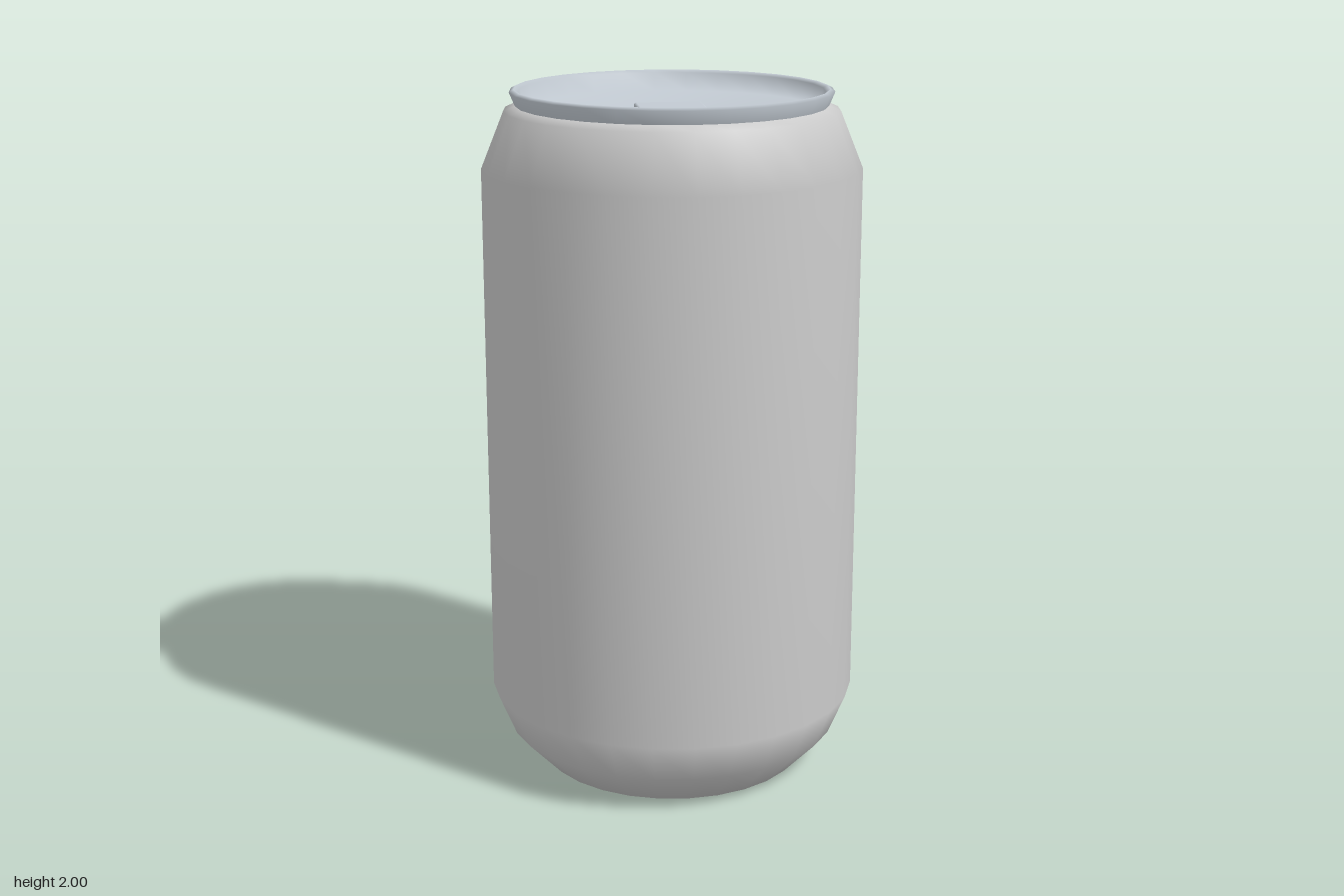
import * as THREE from 'three';
import { RoundedBoxGeometry } from 'three/addons/geometries/RoundedBoxGeometry.js';

const SIDES = 28;

// Smooth turned part from [radius, height] pairs
function turned(name, profile, material) {
  const points = profile.map(([r, y]) => new THREE.Vector2(r, y));
  const mesh = new THREE.Mesh(new THREE.LatheGeometry(points, SIDES), material);
  mesh.name = name;
  return mesh;
}

export function createModel() {
  const group = new THREE.Group();
  group.name = 'drinkCan';
  const grey = new THREE.MeshStandardMaterial({ color: 0xcccccc });
  const metal = new THREE.MeshStandardMaterial({ color: 0xc2cad2 });

  // Can wall with slightly hollow base, tapered foot and shoulder
  group.add(turned('body', [
    [0, 0.05], [0.39, 0], [0.49, 0.105], [0.54, 0.225],
    [0.54, 1.78], [0.475, 1.94], [0.44, 1.955],
  ], grey));

  // Flared rim and recessed lid
  group.add(turned('lid', [
    [0.44, 1.95], [0.458, 1.993], [0.445, 2], [0.432, 1.992],
    [0.42, 1.94], [0, 1.925],
  ], metal));

  // Flat pull tab, set towards the front
  const tab = new THREE.Mesh(new RoundedBoxGeometry(0.195, 0.022, 0.325, 2, 0.007), metal);
  tab.name = 'pullTab';
  tab.position.set(0, 1.936, 0.0625);
  group.add(tab);

  return group;
}
